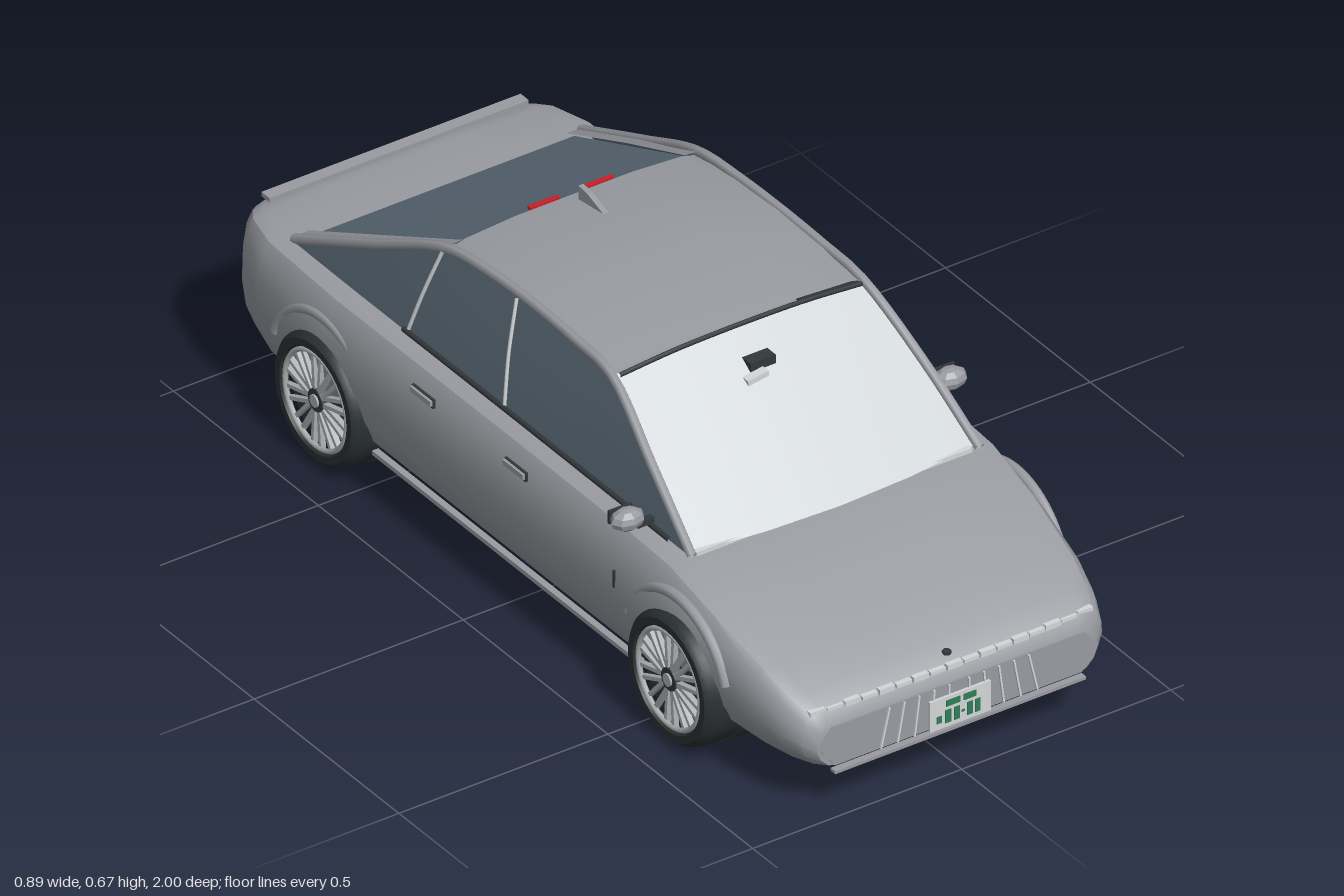
import * as THREE from 'three';
import { toCreasedNormals } from 'three/addons/utils/BufferGeometryUtils.js';

const material = (name, color, side = THREE.FrontSide) => {
  const m = new THREE.MeshStandardMaterial({ color, side });
  m.name = name;
  return m;
};

export function createModel() {
  const car = new THREE.Group();
  car.name = 'car';
  const paint = material('silverPaint', 0x999ba1, THREE.DoubleSide);
  const tint = material('tintedGlass', 0x5c6c79, THREE.DoubleSide);
  const clear = material('windshieldGlass', 0xcdd2d5, THREE.DoubleSide);
  const rubber = material('tyreRubber', 0x2a3031);
  const dark = material('darkTrim', 0x33383b);
  const alloy = material('wheelAlloy', 0xaeb1b3);
  const white = material('lightTrim', 0xd4d6d8);
  const red = material('tailLightRed', 0xc4202b);
  const green = material('plateGreen', 0x2f7d57);

  const add = (name, geo, mat, parent = car) => {
    const mesh = new THREE.Mesh(geo, mat);
    mesh.name = name;
    parent.add(mesh);
    return mesh;
  };
  const box = (name, mat, size, pos, parent = car) => {
    const mesh = add(name, new THREE.BoxGeometry(...size), mat, parent);
    mesh.position.set(...pos);
    return mesh;
  };
  const tube = (name, mat, pts, r) => add(name, new THREE.TubeGeometry(
    new THREE.CatmullRomCurve3(pts.map(p => new THREE.Vector3(...p)), false, 'centripetal'), pts.length * 4, r, 6), mat);

  // Surface through rows of points, with optional fan caps on both ends
  const loft = (rows, capped = false, crease = 0.6) => {
    const n = rows[0].length, verts = rows.flat(2), index = [];
    for (let i = 0; i < rows.length - 1; i++) for (let j = 0; j < n - 1; j++) {
      const a = i * n + j, c = a + n;
      index.push(a, c, a + 1, a + 1, c, c + 1);
    }
    if (capped) for (let j = 1; j < n - 2; j++) {
      const last = (rows.length - 1) * n;
      index.push(0, j, j + 1, last, last + j + 1, last + j);
    }
    const geo = new THREE.BufferGeometry();
    geo.setAttribute('position', new THREE.Float32BufferAttribute(verts, 3));
    geo.setIndex(index);
    return toCreasedNormals(geo, crease);
  };

  // Lower body: z, bottom, top, half width
  const stations = [
    [0.985, 0.11, 0.205, 0.335], [0.965, 0.11, 0.235, 0.36], [0.92, 0.108, 0.262, 0.38],
    [0.85, 0.105, 0.295, 0.395], [0.7, 0.103, 0.347, 0.41], [0.55, 0.1, 0.39, 0.415],
    [0.4, 0.1, 0.398, 0.416], [0, 0.1, 0.4, 0.416], [-0.6, 0.102, 0.4, 0.418],
    [-0.84, 0.118, 0.402, 0.41], [-0.93, 0.125, 0.4, 0.385], [-0.965, 0.128, 0.395, 0.36], [-0.985, 0.13, 0.385, 0.335],
  ];
  const profile = [[0, 0], [0.86, 0], [0.92, 0.06], [0.975, 0.25], [1, 0.48], [0.995, 0.68], [0.97, 0.87], [0.93, 0.96], [0.85, 0.99], [0.4, 1], [0, 1]];
  const ring = [...profile, ...profile.slice(0, -1).reverse().map(([x, y]) => [-x, y])];
  add('body', loft(stations.map(([z, b, t, w]) => ring.map(([x, y]) => [x * w, b + y * (t - b), z])), true), paint);

  // Roof
  const roof = [[0.225, 0.637, 0.302], [0.1, 0.65, 0.302], [-0.05, 0.656, 0.3], [-0.2, 0.65, 0.296], [-0.34, 0.632, 0.288]];
  add('roof', loft(roof.map(([z, y, w]) => [[w, y - 0.016, z], [w * 0.9, y - 0.008, z], [0.14, y, z], [-0.14, y, z], [-w * 0.9, y - 0.008, z], [-w, y - 0.016, z]])), paint);

  // Front and rear glass
  const pane = (top, bottom, bow) => loft([0, 0.5, 1].map(t => [-1, -0.5, 0, 0.5, 1].map(s =>
    [0, 1, 2].map(k => (k ? 1 : s) * THREE.MathUtils.lerp(top[k], bottom[k], t)
      + (k === 2 ? bow * (1 - s * s) * t : 0) + (k === 1 ? 0.012 * (1 - s * s) * (1 - t) : 0)))));
  add('windshield', pane([0.3, 0.622, 0.228], [0.345, 0.393, 0.55], 0.03), clear);
  add('rearWindow', pane([0.275, 0.617, -0.338], [0.32, 0.402, -0.8], 0), tint);

  // Side glass, pillars and trim, mirrored
  const arch = [[0.565, 0.395], [0.4, 0.515], [0.225, 0.623], [0.1, 0.635], [-0.05, 0.64], [-0.2, 0.635], [-0.34, 0.617], [-0.57, 0.513], [-0.81, 0.402]];
  const sideX = y => { const t = (y - 0.395) / 0.245; return 0.348 - 0.028 * t - 0.02 * t * t; };
  const glassLine = (z0, y0, z1, y1) => [0, 0.5, 1].map(t => {
    const y = y0 + (y1 - y0) * t;
    return [sideX(y) + 0.002, y, z0 + (z1 - z0) * t];
  });
  for (const s of [1, -1]) {
    const tag = s > 0 ? 'left' : 'right';
    const flip = pts => pts.map(([x, y, z]) => [s * x, y, z]);
    add(tag + 'SideWindows', loft(arch.map(([z, y]) => flip([0, 0.5, 1].map(t => {
      const h = 0.395 + (y - 0.395) * t;
      return [sideX(h), h, z];
    })))), tint);
    tube(tag + 'RoofRail', paint, flip(arch.map(([z, y]) => [sideX(y) - 0.004, y, z])), 0.011);
    add(tag + 'RearPillar', loft(arch.slice(6).map(([z, y]) =>
      flip([[sideX(y), y + 0.004, z], [sideX(y) - 0.04, y + 0.006, z]]))), paint);
    tube(tag + 'CentrePillar', white, flip(glassLine(-0.075, 0.4, -0.097, 0.632)), 0.004);
    tube(tag + 'QuarterPillar', white, flip(glassLine(-0.41, 0.4, -0.345, 0.61)), 0.004);
    tube(tag + 'BeltTrim', dark, flip([[0.352, 0.401, 0.5], [0.352, 0.403, 0], [0.352, 0.403, -0.42]]), 0.006);
    box(tag + 'Sill', paint, [0.015, 0.01, 0.92], [s * 0.385, 0.1, -0.01]);
    for (const z of [0.055, -0.265]) {
      box(tag + 'HandleRecess', dark, [0.006, 0.02, 0.074], [s * 0.411, 0.35, z]);
      box(tag + 'DoorHandle', paint, [0.012, 0.012, 0.07], [s * 0.414, 0.352, z]);
    }
    box(tag + 'FenderVent', dark, [0.006, 0.04, 0.005], [s * 0.415, 0.28, 0.4]);
    // Door mirror
    const mz = s > 0 ? 0.375 : 0.43;
    const shell = add(tag + 'Mirror', new THREE.SphereGeometry(1, 8, 6), paint);
    shell.geometry = toCreasedNormals(shell.geometry, 0.3);
    shell.scale.set(0.038, 0.024, 0.028);
    shell.position.set(s * 0.405, 0.433, mz);
    box(tag + 'MirrorGlass', dark, [0.055, 0.03, 0.006], [s * 0.405, 0.433, mz - 0.025]);
    box(tag + 'MirrorArm', dark, [0.04, 0.012, 0.016], [s * 0.365, 0.412, mz]);
  }

  // Wheels: axle along local y, outer face towards +y
  const tyreProfile = [[0.108, 0.07], [0.116, 0.085], [0.132, 0.085], [0.142, 0.075], [0.147, 0.055], [0.147, 0], [0.154, 0], [0.154, -0.094], [0, -0.094]]
    .map(([r, y]) => new THREE.Vector2(r, y)).reverse();
  const tyre = toCreasedNormals(new THREE.LatheGeometry(tyreProfile, 40), 0.6);
  const makeWheel = (name, s, z) => {
    const wheel = new THREE.Group();
    wheel.name = name;
    add('tyre', tyre, rubber, wheel);
    add('rimBack', new THREE.CylinderGeometry(0.11, 0.11, 0.01, 32), dark, wheel).position.y = 0.055;
    const rim = add('rimRing', new THREE.TorusGeometry(0.107, 0.006, 6, 40), alloy, wheel);
    rim.rotation.x = Math.PI / 2;
    rim.position.y = 0.077;
    for (let i = 0; i < 10; i++) {
      const spoke = new THREE.Group();
      spoke.name = 'twinSpoke';
      spoke.rotation.y = i * Math.PI / 5;
      for (const k of [-1, 1]) box('spoke', alloy, [0.088, 0.012, 0.0085], [0.064, 0.072, k * 0.0105], spoke).rotation.y = -k * 0.08;
      wheel.add(spoke);
    }
    add('hub', new THREE.CylinderGeometry(0.025, 0.028, 0.02, 20), dark, wheel).position.y = 0.07;
    add('hubCap', new THREE.CylinderGeometry(0.014, 0.014, 0.006, 16), alloy, wheel).position.y = 0.081;
    wheel.rotation.z = -s * Math.PI / 2;
    wheel.position.set(s * 0.345, 0.154, z);
    car.add(wheel);
    // Raised lip over the wheel
    const lip = add(name + 'Arch', new THREE.TorusGeometry(0.176, 0.012, 8, 28, 2.5), paint);
    lip.rotation.set(0, Math.PI / 2, 0);
    lip.geometry.rotateZ((Math.PI - 2.5) / 2);
    lip.position.set(s * 0.403, 0.165, z);
  };
  for (const s of [1, -1]) {
    makeWheel(s > 0 ? 'frontLeftWheel' : 'frontRightWheel', s, 0.6);
    makeWheel(s > 0 ? 'rearLeftWheel' : 'rearRightWheel', s, -0.62);
  }

  // Nose: lamp strip, grille panel, slats and splitter
  for (let i = -8; i <= 8; i++) {
    const x = i * 0.04;
    box('lampSegment', white, [0.036, i % 2 ? 0.008 : 0.012, 0.012], [x, 0.232, 0.972 - 0.12 * x * x]);
  }
  const hex = new THREE.Shape([[-0.3, 0.205], [-0.335, 0.165], [-0.295, 0.113], [0.295, 0.113], [0.335, 0.165], [0.3, 0.205]].map(p => new THREE.Vector2(...p)));
  add('grillePanel', new THREE.ExtrudeGeometry(hex, { depth: 0.006, bevelEnabled: false }), paint).position.z = 0.983;
  for (const s of [1, -1]) for (let i = 0; i < 5; i++)
    box('grilleSlat', white, [0.004, 0.09, 0.006], [s * (0.025 + i * 0.038), 0.158, 0.99]).rotation.z = s * (0.03 + i * 0.05);
  box('frontSplitter', paint, [0.6, 0.007, 0.016], [0, 0.101, 0.988]);
  box('cowlTrim', white, [0.66, 0.01, 0.015], [0, 0.391, 0.553]);
  add('noseBadge', new THREE.CylinderGeometry(0.01, 0.01, 0.006, 6), dark).position.set(0, 0.248, 0.948);

  // Number plates with plain blocks
  const plate = (name, y, z, s) => {
    const g = new THREE.Group();
    g.name = name;
    box('plateBase', white, [0.145, 0.07, 0.006], [0, 0, 0], g);
    for (const [x, v, w, h] of [[-0.018, 0.02, 0.034, 0.014], [0.022, 0.02, 0.03, 0.014], [-0.052, -0.012, 0.012, 0.016],
      [-0.03, -0.01, 0.014, 0.03], [-0.009, -0.01, 0.014, 0.03], [0.006, -0.01, 0.008, 0.005], [0.022, -0.01, 0.014, 0.03], [0.041, -0.01, 0.012, 0.03]])
      box('plateBlock', green, [w, h, 0.002], [x, v, 0.0035], g);
    g.position.set(0, y, z);
    if (s < 0) g.rotation.y = Math.PI;
    car.add(g);
  };
  plate('frontPlate', 0.145, 0.993, 1);
  plate('rearPlate', 0.24, -0.988, -1);

  // Tail: light bar, reflectors, spoiler
  box('tailLightHousing', dark, [0.63, 0.036, 0.006], [0, 0.34, -0.987]);
  box('tailLightBar', red, [0.625, 0.026, 0.012], [0, 0.342, -0.994]);
  for (const x of [0.255, -0.255]) box('rearReflector', red, [0.09, 0.014, 0.008], [x, 0.165, -0.987]);
  for (let i = -2; i <= 2; i++) box('tailStud', dark, [0.012, 0.007, 0.004], [i * 0.035, 0.307, -0.986]);
  box('spoiler', paint, [0.62, 0.01, 0.028], [0, 0.408, -0.957]);

  // Roof and windshield details
  const fin = new THREE.Shape([[-0.315, 0.635], [-0.315, 0.667], [-0.285, 0.664], [-0.225, 0.645]].map(p => new THREE.Vector2(...p)));
  const finMesh = add('roofFin', new THREE.ExtrudeGeometry(fin, { depth: 0.012, bevelEnabled: false }), paint);
  finMesh.rotation.y = -Math.PI / 2;
  finMesh.position.x = 0.006;
  for (const x of [0.065, -0.065]) box('highBrakeLight', red, [0.07, 0.006, 0.012], [x, 0.63, -0.35]);
  tube('windshieldHeader', dark, [[-0.29, 0.623, 0.236], [-0.14, 0.634, 0.236], [0.14, 0.634, 0.236], [0.29, 0.623, 0.236]], 0.005);
  box('cabinMirrorMount', dark, [0.06, 0.02, 0.03], [0, 0.585, 0.3]);
  box('cabinMirror', white, [0.05, 0.012, 0.02], [-0.025, 0.57, 0.325]).rotation.z = 0.15;
  return car;
}
